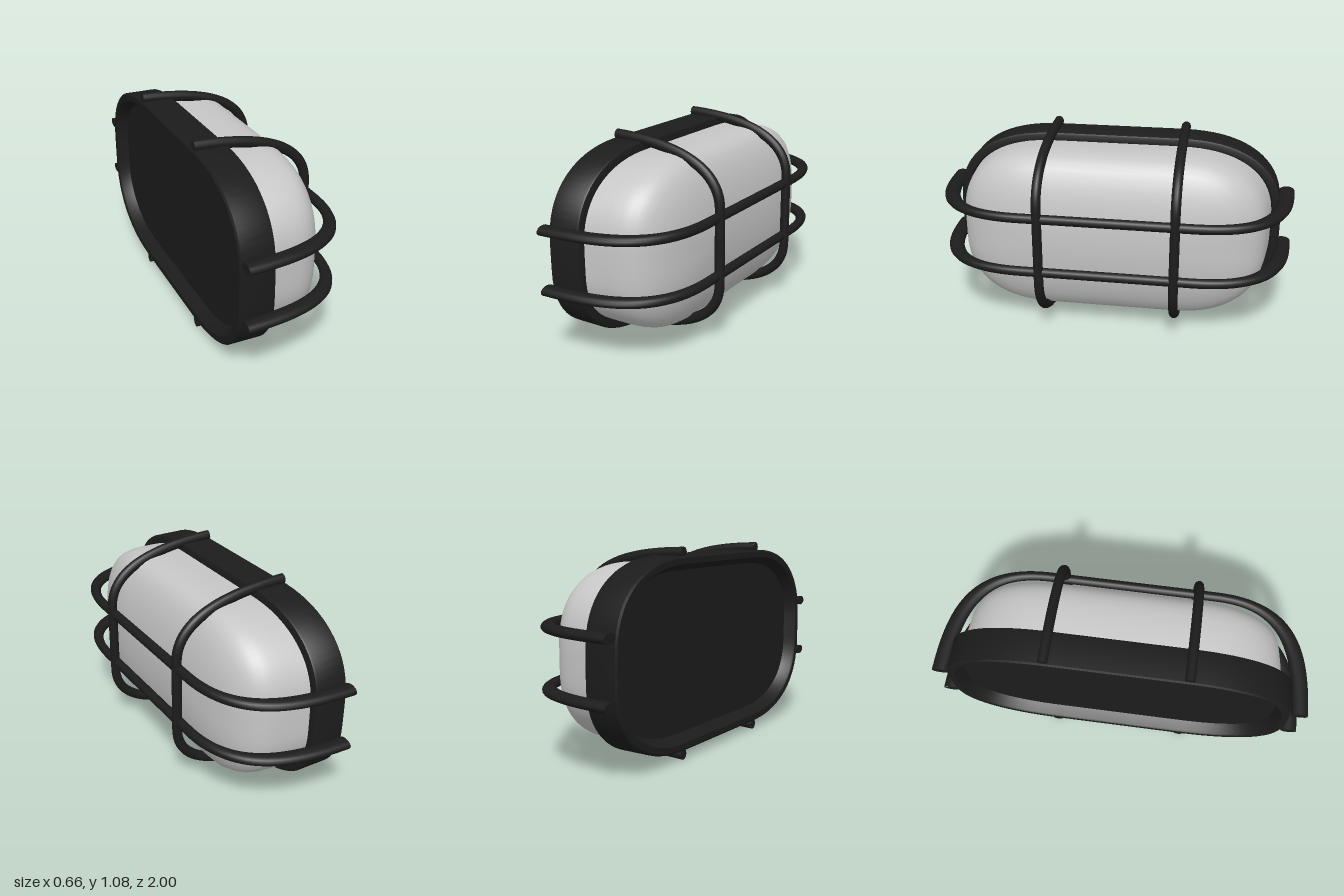
import * as THREE from 'three';
import { toCreasedNormals } from 'three/addons/utils/BufferGeometryUtils.js';

const CY = 0.543; // height of the lamp's axis
const CZ = -0.005; // slight offset of the lamp along its length
const black = new THREE.MeshStandardMaterial({ color: 0x1c1c1c });
black.name = 'black metal';
const white = new THREE.MeshStandardMaterial({ color: 0xc6c6c6 });
white.name = 'frosted glass';

// Rounded oblong in the z-y plane: straight runs joined by full, superelliptic corners
function outline(hz, hy, flatZ, flatY, steps = 18) {
  const points = [];
  const full = (c) => Math.sign(c) * Math.abs(c) ** (2 / 2.4);
  for (let q = 0; q < 4; q++) {
    const sy = q === 0 || q === 3 ? 1 : -1;
    const sz = q < 2 ? 1 : -1;
    for (let i = 0; i <= steps; i++) {
      const t = ((q + i / steps) * Math.PI) / 2;
      points.push([
        sz * flatZ + (hz - flatZ) * full(Math.sin(t)),
        sy * flatY + (hy - flatY) * full(Math.cos(t)),
      ]);
    }
  }
  return points;
}

// Skin over a list of [x, halfZ, halfY, flatZ, flatY] cross-sections
function loft(sections, crease) {
  const positions = [];
  const index = [];
  const rings = sections.map(([x, ...s]) => outline(...s).map(([z, y]) => [x, y + CY, z + CZ]));
  const n = rings[0].length;
  rings.forEach((ring) => ring.forEach((p) => positions.push(...p)));
  for (let r = 0; r < rings.length - 1; r++) {
    for (let i = 0; i < n; i++) {
      const a = r * n + i;
      const b = r * n + ((i + 1) % n);
      index.push(a, b, a + n, b, b + n, a + n);
    }
  }
  const geometry = new THREE.BufferGeometry();
  geometry.setAttribute('position', new THREE.Float32BufferAttribute(positions, 3));
  geometry.setIndex(index);
  return toCreasedNormals(geometry, crease);
}

function addMesh(parent, name, geometry, material) {
  const mesh = new THREE.Mesh(geometry, material);
  mesh.name = name;
  parent.add(mesh);
  return mesh;
}

// Bent guard bar in the x-y plane, centred on y = 0, with closed ends.
// The round rod is swept on a shortened path and stretched along y,
// which makes it oval where it runs back to the wall.
function guardBar(name, reach, halfSpan, straight, endHandle, stretch) {
  const bar = new THREE.Group();
  bar.name = name;
  const radius = 0.026;
  const v = (x, y) => new THREE.Vector3(x, y / stretch, 0);
  const backX = -0.322;
  const path = new THREE.CurvePath();
  path.add(new THREE.CubicBezierCurve3(
    v(backX, halfSpan), v(0.05, halfSpan - 0.008), v(reach, endHandle), v(reach, straight)));
  path.add(new THREE.LineCurve3(v(reach, straight), v(reach, -straight)));
  path.add(new THREE.CubicBezierCurve3(
    v(reach, -straight), v(reach, -endHandle), v(0.05, 0.008 - halfSpan), v(backX, -halfSpan)));
  const rod = new THREE.TubeGeometry(path, 96, radius, 14).scale(1, stretch, 1);
  addMesh(bar, 'rod', rod, black);
  for (const side of [1, -1]) {
    const end = new THREE.CircleGeometry(radius, 14).scale(1, stretch, 1);
    const cap = addMesh(bar, 'rodEnd', end, black);
    cap.position.set(backX, side * halfSpan, 0);
    cap.rotation.y = -Math.PI / 2;
  }
  return bar;
}

export function createModel() {
  const model = new THREE.Group();
  model.name = 'bulkheadLamp';

  // Housing: recessed back plate, rear lip, side wall and front rim
  const housing = [
    [-0.268, 0.075], [-0.322, 0.048], [-0.33, 0.04], [-0.33, 0.01], [-0.322, 0],
    [-0.157, 0], [-0.149, 0.004], [-0.145, 0.014], [-0.145, 0.045], [-0.17, 0.06],
  ].map(([x, inset]) => [x, 0.918 - inset, 0.494 - inset, 0.33, 0.06]);
  housing.unshift([-0.268, 0.33, 0, 0.33, 0]);
  addMesh(model, 'housing', loft(housing, 0.5), black);

  // Glass dome bulging forward out of the housing
  const dome = [
    [-0.17, 0.868, 0.446], [-0.1, 0.858, 0.452], [-0.03, 0.848, 0.456], [0.03, 0.838, 0.455],
    [0.07, 0.825, 0.449], [0.1, 0.808, 0.439], [0.13, 0.782, 0.42], [0.155, 0.75, 0.39],
    [0.18, 0.705, 0.344], [0.2, 0.65, 0.29], [0.215, 0.59, 0.234], [0.228, 0.51, 0.163],
    [0.236, 0.42, 0.085], [0.239, 0.33, 0],
  ].map(([x, hz, hy]) => [x, hz, hy, 0.33, hy * 0.12]);
  addMesh(model, 'glassDome', loft(dome, 1.0), white);

  // Guard cage: two upright bars and two lengthwise bars
  for (const side of [1, -1]) {
    const upright = guardBar('uprightGuardBar', 0.305, 0.511, 0.2, 0.42, 1.1);
    upright.position.set(0, CY - 0.002, side * 0.364 - 0.007);
    model.add(upright);

    const lengthwise = guardBar('lengthwiseGuardBar', 0.295, 0.955, 0.46, 0.86, 1.7);
    lengthwise.rotation.x = Math.PI / 2;
    lengthwise.position.set(0, CY + side * 0.156, 0);
    model.add(lengthwise);
  }
  return model;
}
